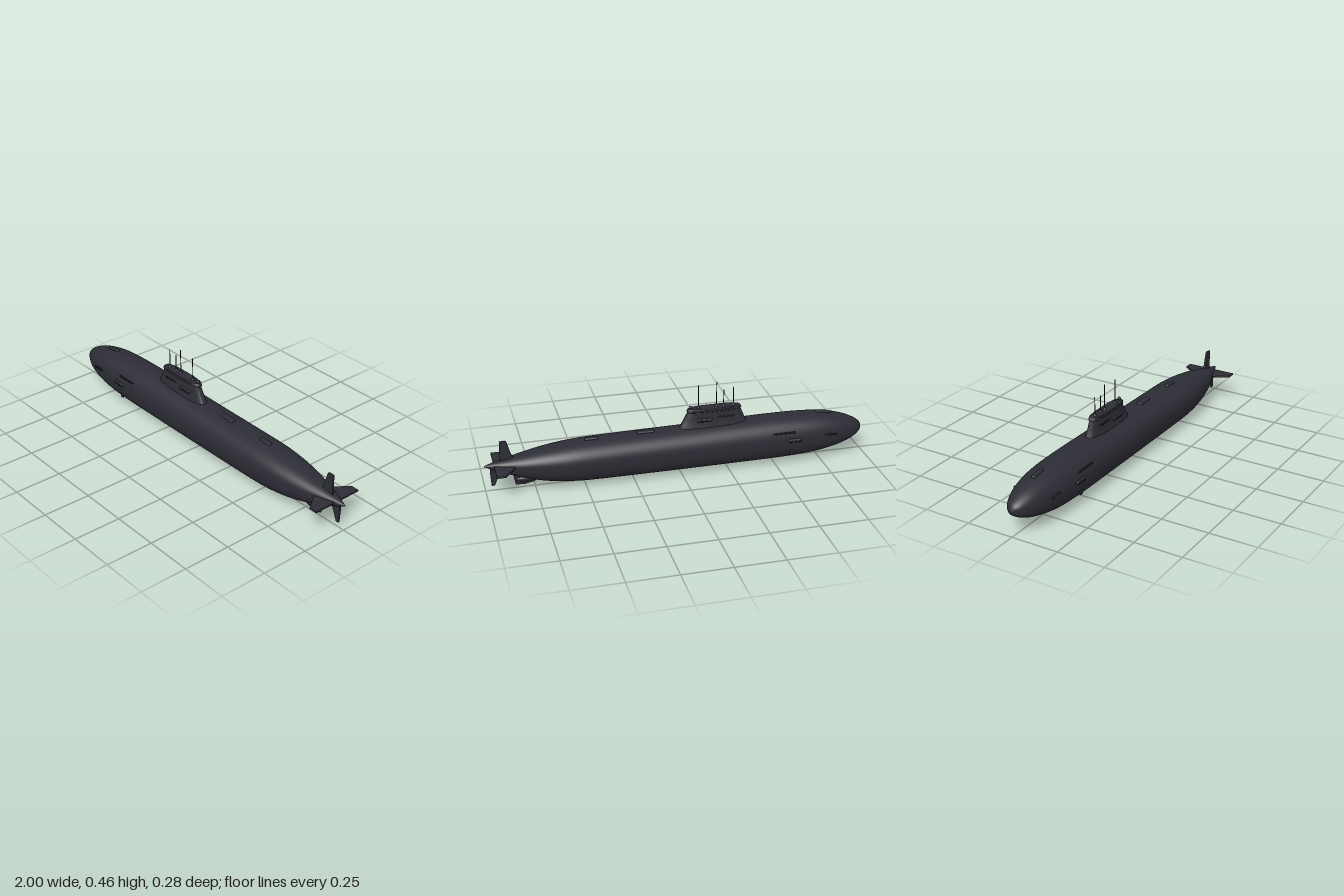
import * as THREE from 'three';
import { toCreasedNormals } from 'three/addons/utils/BufferGeometryUtils.js';
import { RoundedBoxGeometry } from 'three/addons/geometries/RoundedBoxGeometry.js';

// Hull stations: x, bottom, top, half width
const STATIONS = [
  [-1, 0.131, 0.135, 0.002], [-0.99, 0.11, 0.155, 0.024], [-0.96, 0.088, 0.178, 0.05],
  [-0.9, 0.063, 0.205, 0.077], [-0.8, 0.04, 0.23, 0.1], [-0.7, 0.026, 0.24, 0.11],
  [-0.55, 0.018, 0.244, 0.114], [-0.3, 0.015, 0.241, 0.114], [0, 0.014, 0.234, 0.114],
  [0.3, 0.014, 0.229, 0.114], [0.5, 0.016, 0.224, 0.113], [0.6, 0.023, 0.216, 0.107],
  [0.7, 0.036, 0.203, 0.093], [0.8, 0.06, 0.185, 0.071], [0.9, 0.094, 0.164, 0.04],
  [0.96, 0.117, 0.151, 0.019], [1, 0.136, 0.14, 0.002],
];
const MID = 0.135, N_TOP = 2.15, N_LOW = 2.5;

// Smoothly interpolated hull station
function station(x) {
  let i = 0;
  while (i < STATIONS.length - 2 && STATIONS[i + 1][0] < x) i++;
  const at = (k) => STATIONS[Math.min(Math.max(k, 0), STATIONS.length - 1)];
  const [p, a, b, q] = [at(i - 1), at(i), at(i + 1), at(i + 2)];
  const h = b[0] - a[0], t = (x - a[0]) / h;
  return [1, 2, 3].map((c) => {
    const m0 = (b[c] - p[c]) / (b[0] - p[0]) * h, m1 = (q[c] - a[c]) / (q[0] - a[0]) * h;
    return (2 * t ** 3 - 3 * t * t + 1) * a[c] + (t ** 3 - 2 * t * t + t) * m0
      + (3 * t * t - 2 * t ** 3) * b[c] + (t ** 3 - t * t) * m1;
  });
}

// Half width of the hull at a given x and height
function hullSide(x, y) {
  const [low, high, w] = station(x);
  const up = y > MID, n = up ? N_TOP : N_LOW;
  const v = Math.min(1, Math.abs(y - MID) / (up ? high - MID : MID - low));
  return w * (1 - v ** n) ** (1 / n);
}

const spow = (v, n) => Math.sign(v) * Math.abs(v) ** (2 / n);

// Skin closed rings of points and cap both ends
function loft(rings, crease) {
  const pos = [], idx = [], n = rings[0].length;
  rings.forEach((r) => r.forEach((p) => pos.push(...p)));
  for (let i = 0; i < rings.length - 1; i++) {
    for (let j = 0; j < n; j++) {
      const k = (j + 1) % n, a = i * n, b = a + n;
      idx.push(a + j, a + k, b + j, a + k, b + k, b + j);
    }
  }
  const last = (rings.length - 1) * n;
  for (let j = 1; j < n - 1; j++) idx.push(0, j + 1, j, last, last + j, last + j + 1);
  const g = new THREE.BufferGeometry();
  g.setAttribute('position', new THREE.Float32BufferAttribute(pos, 3));
  g.setIndex(idx);
  g.computeVertexNormals();
  return crease ? toCreasedNormals(g, crease) : g;
}

// Tapered plate from an outline in x and y, centred on z
function plate(points, depth) {
  const bevel = depth * 0.3;
  const g = new THREE.ExtrudeGeometry(new THREE.Shape(points.map((p) => new THREE.Vector2(...p))), {
    depth: depth - 2 * bevel, bevelThickness: bevel, bevelSize: bevel, bevelOffset: -bevel, bevelSegments: 2,
  });
  return g.translate(0, 0, bevel - depth / 2);
}

export function createModel() {
  const model = new THREE.Group();
  const hullPaint = new THREE.MeshStandardMaterial({ color: 0x2d2d36 });
  const mastPaint = new THREE.MeshStandardMaterial({ color: 0x1e1e25 });
  const add = (name, geometry, mat = hullPaint, x = 0, y = 0, z = 0) => {
    const m = new THREE.Mesh(geometry, mat);
    m.name = name;
    m.position.set(x, y, z);
    model.add(m);
    return m;
  };
  const pad = (name, x, y, z, l, h, d, mat) =>
    add(name, new RoundedBoxGeometry(l, h, d, 2, Math.min(l, h, d) * 0.4), mat, x, y, z);

  // Hull
  const rings = [];
  for (let i = 0; i <= 100; i++) {
    const x = -Math.cos(Math.PI * i / 100), [low, high, w] = station(x), ring = [];
    for (let j = 0; j < 64; j++) {
      const a = j / 64 * Math.PI * 2, c = Math.cos(a), n = c > 0 ? N_TOP : N_LOW;
      ring.push([x, MID + spow(c, n) * (c > 0 ? high - MID : MID - low), spow(Math.sin(a), n) * w]);
    }
    rings.push(ring);
  }
  add('hull', loft(rings));

  // Sail with flared foot and overhanging cap: y, front, back, half width
  const levels = [
    [0.2, -0.38, 0.015, 0.042], [0.236, -0.366, -0.003, 0.039], [0.25, -0.354, -0.013, 0.034],
    [0.28, -0.341, -0.029, 0.031], [0.314, -0.327, -0.046, 0.027], [0.318, -0.332, -0.042, 0.033],
    [0.328, -0.328, -0.045, 0.033], [0.332, -0.323, -0.05, 0.029],
  ];
  add('sail', loft(levels.map(([y, x0, x1, w]) => Array.from({ length: 48 }, (_, j) => {
    const a = j / 48 * Math.PI * 2;
    return [(x0 + x1) / 2 + spow(Math.sin(a), 2.8) * (x1 - x0) / 2, y, spow(Math.cos(a), 2.8) * w];
  })), 0.7));

  // Masts on small conical seats
  [[-0.29, 0.43], [-0.238, 0.42], [-0.2, 0.464], [-0.103, 0.455]].forEach(([x, top]) => {
    add('mast', new THREE.CylinderGeometry(0.0022, 0.0026, top - 0.33, 10), mastPaint, x, (top + 0.33) / 2);
    add('mastSeat', new THREE.CylinderGeometry(0.004, 0.011, 0.012, 16), hullPaint, x, 0.336);
  });
  add('sailLight', new THREE.SphereGeometry(0.009, 16, 10), hullPaint, -0.062, 0.338);

  // Paired fittings along the sides
  for (const s of [1, -1]) {
    pad('sailSlot', -0.242, 0.283, s * 0.029, 0.09, 0.008, 0.008, mastPaint);
    pad('sailSensor', -0.13, 0.274, s * 0.033, 0.08, 0.018, 0.014);
    pad('sailSensorSlot', -0.13, 0.274, s * 0.039, 0.055, 0.006, 0.005, mastPaint);
    pad('bowSlot', -0.772, 0.148, s * hullSide(-0.772, 0.148), 0.105, 0.008, 0.01, mastPaint).rotation.y = s * 0.12;
    pad('upperSideSlot', -0.538, 0.183, s * hullSide(-0.538, 0.183), 0.12, 0.008, 0.01, mastPaint);
    pad('sideSensor', -0.595, 0.14, s * hullSide(-0.595, 0.14), 0.07, 0.022, 0.018);
    pad('sideSensorSlot', -0.595, 0.14, s * (hullSide(-0.595, 0.14) + 0.008), 0.055, 0.006, 0.005, mastPaint);
    pad('lowerSidePanel', -0.58, 0.07, s * hullSide(-0.58, 0.075), 0.02, 0.025, 0.01);

    // Horizontal tail fins
    const fin = add('tailPlane', plate(
      [[0.835, 0.03], [0.862, 0.075], [0.907, 0.139], [0.952, 0.139], [0.952, 0.015], [0.85, 0.015]], 0.011,
    ), hullPaint, 0, 0.137);
    fin.rotation.x = s * Math.PI / 2;
  }

  // Vertical tail fins
  add('upperRudder', plate(
    [[0.835, 0.15], [0.862, 0.19], [0.882, 0.262], [0.89, 0.267], [0.918, 0.265], [0.921, 0.15]], 0.011));
  add('lowerRudder', plate(
    [[0.91, 0.125], [0.972, 0.125], [0.972, 0.09], [0.968, 0.026], [0.952, 0.026], [0.932, 0.075]], 0.011));

  // Keel fin with a rounded pod at its root
  add('keelFin', plate(
    [[0.72, 0.06], [0.86, 0.09], [0.848, 0.018], [0.8, 0.016], [0.755, 0.026], [0.722, 0.04]], 0.014));
  add('keelPod', new THREE.SphereGeometry(0.018, 20, 14), hullPaint, 0.79, 0.047).scale.set(3.4, 0.9, 1);

  // Deck hatches, bow sonar hump and bottom fittings
  pad('deckHatch', 0.175, 0.23, 0, 0.09, 0.016, 0.034);
  pad('aftDeckHatch', 0.455, 0.225, 0, 0.07, 0.018, 0.026);
  pad('bowHump', -0.785, 0.232, 0, 0.08, 0.018, 0.022).rotation.z = 0.13;
  pad('keelPlate', 0.175, 0.008, 0, 0.09, 0.016, 0.034);
  pad('bottomSensor', -0.482, 0.015, -0.022, 0.012, 0.016, 0.008);

  // Stand on the ground plane
  model.position.y = 0;
  return model;
}
